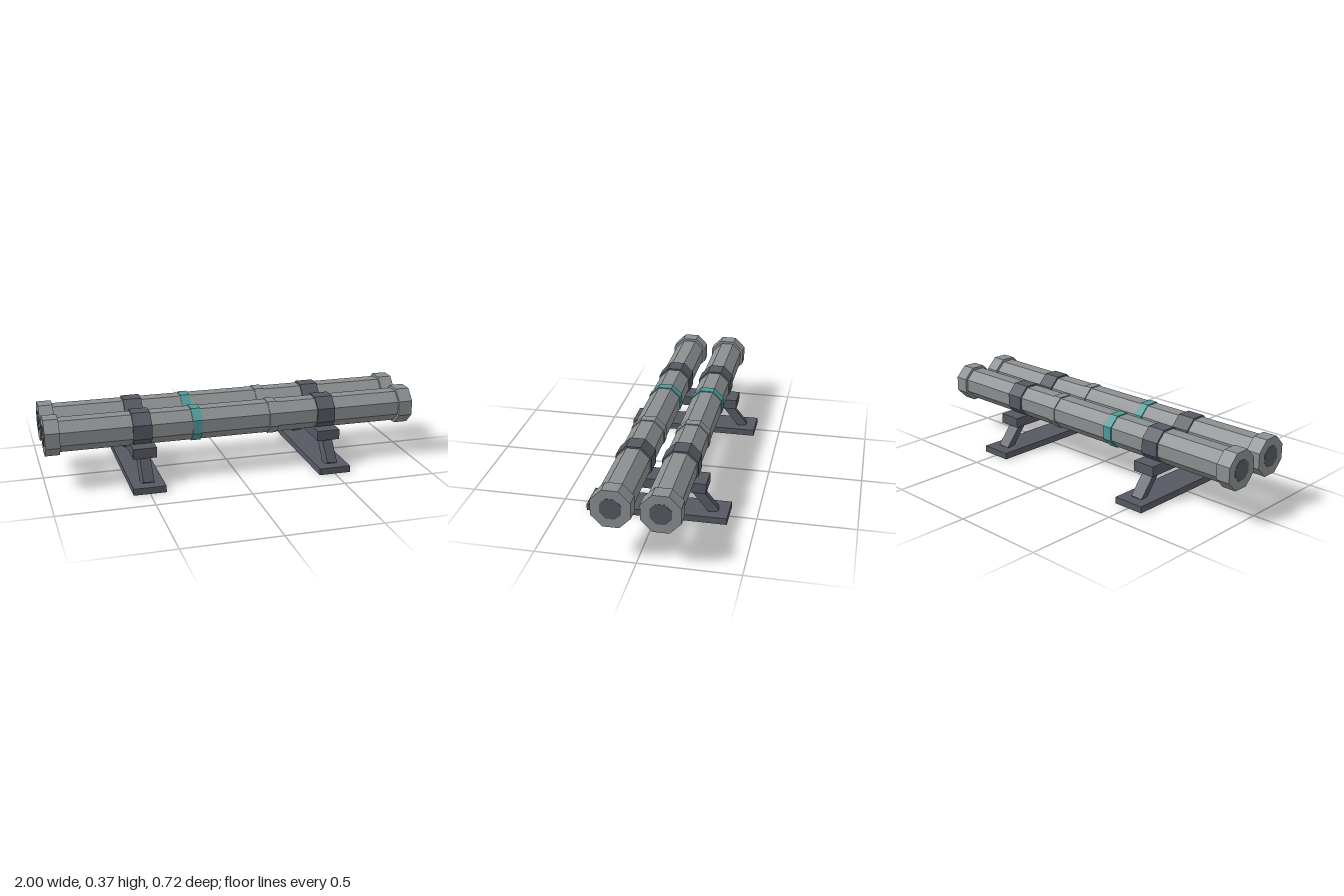
import * as THREE from 'three';

const flat = (name, color) => {
  const m = new THREE.MeshStandardMaterial({ color, flatShading: true });
  m.name = name;
  return m;
};

export function createModel() {
  const root = new THREE.Group();
  root.name = 'pipeRack';
  const steel = flat('steelGrey', 0x8b8f91);
  const dark = flat('darkSlate', 0x565962);
  const teal = flat('tealBand', 0x4f9a98);

  const add = (parent, name, geometry, material, x, y, z) => {
    const mesh = new THREE.Mesh(geometry, material);
    mesh.name = name;
    mesh.position.set(x, y, z);
    parent.add(mesh);
    return mesh;
  };

  // Octagonal prism along x with flats up; size is given across half the flats
  const octagon = (apothem, length) => {
    const r = apothem / Math.cos(Math.PI / 8);
    return new THREE.CylinderGeometry(r, r, length, 8)
      .rotateY(Math.PI / 8)
      .rotateZ(Math.PI / 2);
  };

  // Two parallel pipes with end caps, bores and bands
  for (const side of [1, -1]) {
    const pipe = new THREE.Group();
    pipe.name = side > 0 ? 'frontPipe' : 'backPipe';
    pipe.position.set(0, 0.277, side * 0.118);
    root.add(pipe);
    add(pipe, 'tube', octagon(0.0825, 1.9), steel, 0, 0, 0);
    add(pipe, 'colourBand', octagon(0.0875, 0.05), teal, -0.21, 0, 0);
    add(pipe, 'jointBand', octagon(0.0875, 0.05), steel, 0.21, 0, 0);
    for (const end of [1, -1]) {
      add(pipe, 'endCap', octagon(0.0965, 0.076), steel, end * 0.96, 0, 0);
      add(pipe, 'bore', octagon(0.052, 0.004), dark, end * 0.998, 0, 0);
      add(pipe, 'clamp', octagon(0.091, 0.098), dark, end * 0.5, 0, 0);
    }
  }

  // Two stands, each with a base plate, slanted legs and a saddle beam
  const legGeometry = new THREE.BoxGeometry(0.06, 0.185, 0.047)
    .rotateY(0.21)
    .rotateX(-0.685)
    .translate(0, 0.0985, 0.229);
  for (const x of [-0.5, 0.5]) {
    const stand = new THREE.Group();
    stand.name = x > 0 ? 'leftStand' : 'rightStand';
    stand.position.x = x;
    root.add(stand);
    add(stand, 'basePlate', new THREE.BoxGeometry(0.17, 0.035, 0.72), dark, 0, 0.0175, 0);
    add(stand, 'saddleBeam', new THREE.BoxGeometry(0.124, 0.054, 0.5), dark, 0, 0.178, 0);
    add(stand, 'frontLeg', legGeometry, dark, 0, 0, 0);
    add(stand, 'backLeg', legGeometry, dark, 0, 0, 0).rotation.y = Math.PI;
  }
  return root;
}
